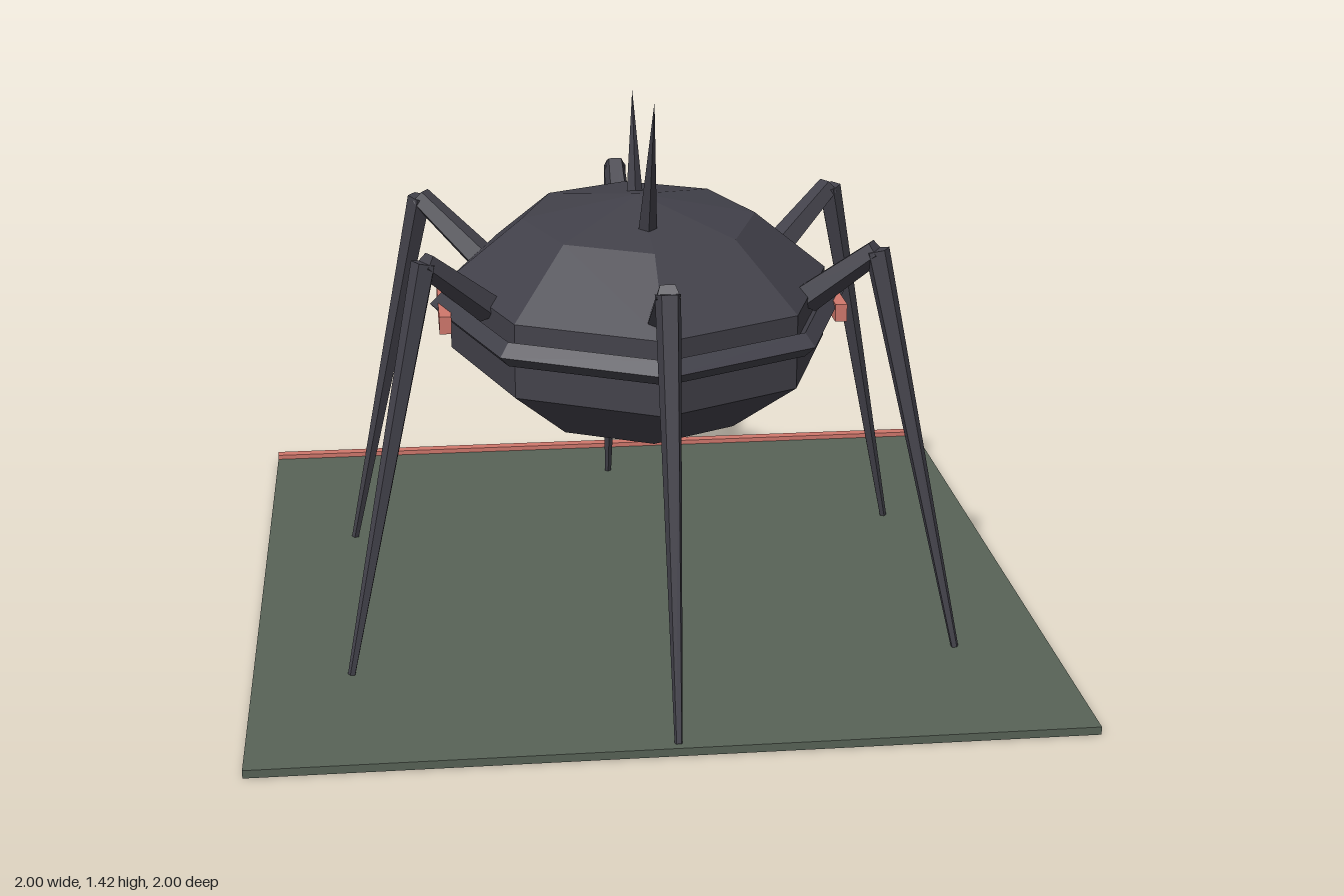
import * as THREE from 'three';

const hull = new THREE.MeshStandardMaterial({ color: 0x42414a, flatShading: true });
hull.name = 'charcoal hull';
const ground = new THREE.MeshStandardMaterial({ color: 0x586357, flatShading: true });
ground.name = 'moss green';
const glow = new THREE.MeshStandardMaterial({ color: 0xd0776c, flatShading: true });
glow.name = 'coral light';

const UP = new THREE.Vector3(0, 1, 0);
const CZ = 0.1; // body centre along z

function add(parent, name, geometry, material, x = 0, y = 0, z = 0) {
  const mesh = new THREE.Mesh(geometry, material);
  mesh.name = name;
  mesh.position.set(x, y, z);
  parent.add(mesh);
  return mesh;
}

// Tapered rod running from point a to point b
function rod(parent, name, a, b, ra, rb, sides) {
  const dir = b.clone().sub(a);
  const mesh = add(parent, name, new THREE.CylinderGeometry(rb, ra, dir.length(), sides), hull);
  mesh.position.copy(a).add(b).multiplyScalar(0.5);
  mesh.quaternion.setFromUnitVectors(UP, dir.normalize());
  return mesh;
}

export function createModel() {
  const model = new THREE.Group();
  model.name = 'walker';

  // Ground slab with a coloured strip along the back edge
  add(model, 'groundSlab', new THREE.BoxGeometry(2, 0.02, 2), ground, 0, 0.01, 0);
  add(model, 'backStrip', new THREE.BoxGeometry(2, 0.015, 0.03), glow, 0, 0.0255, -0.985);

  // Faceted oval body
  const body = new THREE.SphereGeometry(1, 8, 5);
  body.scale(0.508, 0.3, 0.61);
  add(model, 'body', body, hull, 0, 0.81, CZ);

  // Sharp-edged rim around the waist
  const rim = new THREE.TorusGeometry(0.505, 0.03, 4, 8);
  rim.rotateX(Math.PI / 2);
  rim.scale(1, 1, 1.2);
  add(model, 'rim', rim, hull, 0, 0.835, CZ);

  // Lights on both sides and at the back
  for (const s of [-1, 1])
    add(model, 'sideLight', new THREE.BoxGeometry(0.03, 0.045, 0.3), glow, s * 0.5, 0.823, CZ);
  add(model, 'backLight', new THREE.BoxGeometry(0.26, 0.045, 0.026), glow, 0, 0.823, -0.493);

  // Six legs, evenly spread around the body
  for (let i = 0; i < 6; i++) {
    const leg = new THREE.Group();
    leg.name = 'leg';
    leg.position.z = CZ;
    leg.rotation.y = (i * Math.PI) / 3;
    const hip = new THREE.Vector3(0, 0.89, 0.455);
    const knee = new THREE.Vector3(0, 1.035, 0.635);
    const foot = new THREE.Vector3(0, 0.02, 0.875);
    rod(leg, 'upperLeg', hip, knee, 0.04, 0.03, 5);
    rod(leg, 'lowerLeg', knee, foot, 0.032, 0.01, 5);
    model.add(leg);
  }

  // Two leaning spines on the back
  rod(model, 'frontSpine', new THREE.Vector3(0, 1.04, 0.295), new THREE.Vector3(0, 1.42, 0.445), 0.025, 0, 4);
  rod(model, 'backSpine', new THREE.Vector3(0, 1.07, 0.005), new THREE.Vector3(0, 1.345, -0.06), 0.022, 0, 4);

  return model;
}
